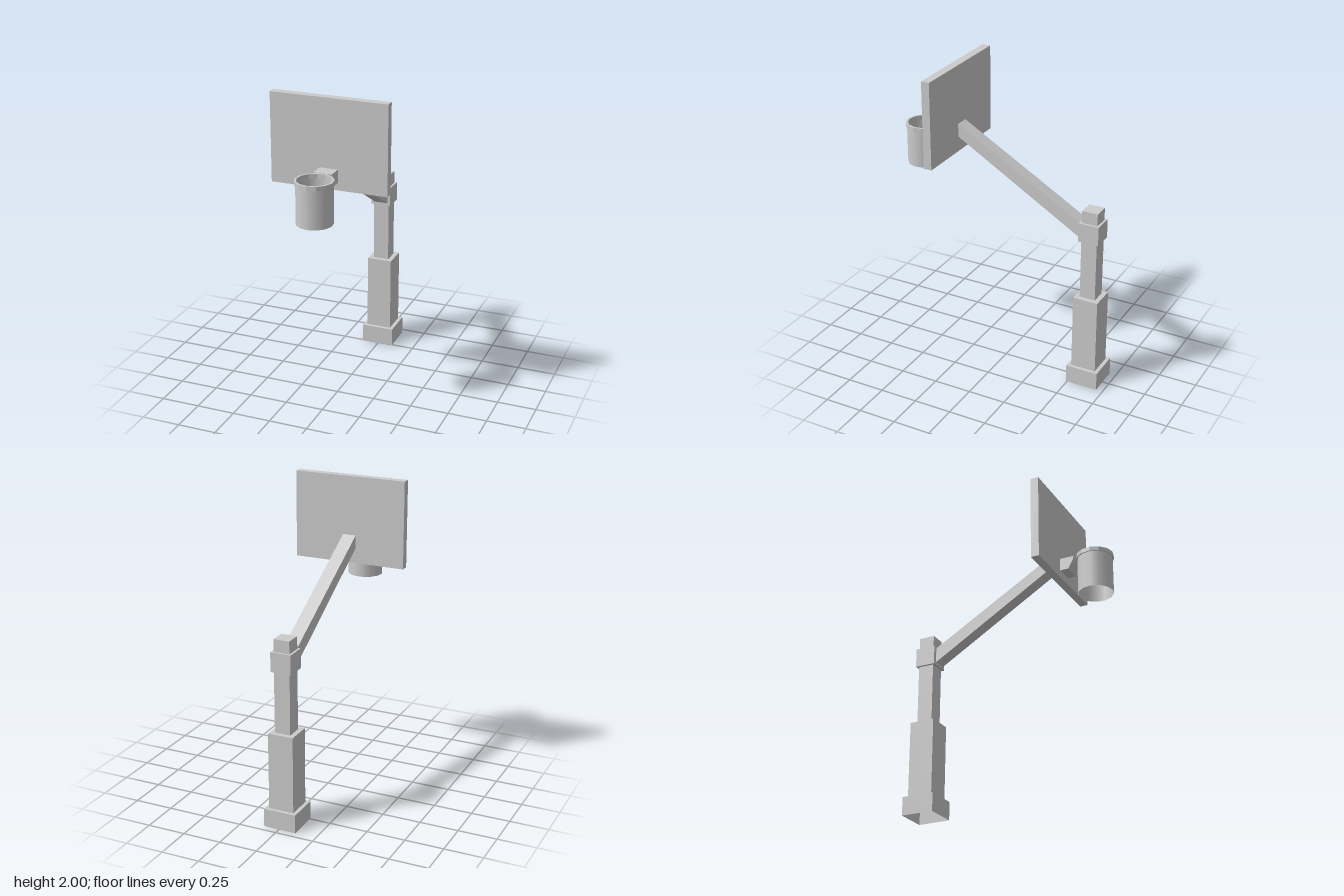
import * as THREE from 'three';

const flat = new THREE.MeshStandardMaterial({ color: 0xcccccc, flatShading: true, side: THREE.DoubleSide });
const smooth = new THREE.MeshStandardMaterial({ color: 0xcccccc, side: THREE.DoubleSide });

const RIM_SIDES = 13;
const HOOP_Z = 0.585;

// Side profile of [z, y] points, extruded across x and centred
function sideExtrude(points, width) {
  const shape = new THREE.Shape(points.map(([z, y]) => new THREE.Vector2(z, y)));
  const geometry = new THREE.ExtrudeGeometry(shape, { depth: width, bevelEnabled: false });
  geometry.translate(0, 0, -width / 2);
  geometry.rotateY(-Math.PI / 2);
  return geometry;
}

// Revolved profile of [radius, y] points
function revolve(points, sides, start = 0) {
  return new THREE.LatheGeometry(points.map(([r, y]) => new THREE.Vector2(r, y)), sides, start);
}

export function createModel() {
  const group = new THREE.Group();
  const add = (name, geometry, material, x = 0, y = 0, z = 0) => {
    const mesh = new THREE.Mesh(geometry, material);
    mesh.name = name;
    mesh.position.set(x, y, z);
    group.add(mesh);
  };

  // Stepped square post, hollow and open at the bottom: [half width, y]
  const steps = [
    [0.107, 0], [0.107, 0.12], [0.083, 0.12], [0.083, 0.62],
    [0.052, 0.62], [0.052, 1.015], [0.067, 1.015], [0.067, 1.14],
    [0.052, 1.14], [0.052, 1.22], [0, 1.22],
  ];
  const post = revolve(steps.map(([h, y]) => [h * Math.SQRT2, y]), 4, Math.PI / 4);
  add('post', post, flat, -0.005, 0, -0.599);

  // Sloping arm from the collar to the board
  const arm = sideExtrude([[-0.535, 1.03], [0.318, 1.535], [0.318, 1.62], [-0.535, 1.13]], 0.088);
  add('arm', arm, flat, -0.002);

  // Backboard
  add('backboard', new THREE.BoxGeometry(0.748, 0.565, 0.054), flat, -0.001, 1.7175, 0.342);

  // Bracket with a sloped underside
  const bracket = sideExtrude(
    [[0.367, 1.483], [0.425, 1.483], [0.458, 1.54], [0.463, 1.566], [0.367, 1.566]], 0.118);
  add('bracket', bracket, flat);

  // Rim band
  const rim = revolve(
    [[0.12, 1.539], [0.12, 1.566], [0.107, 1.566], [0.107, 1.539], [0.12, 1.539]], RIM_SIDES);
  add('rim', rim, flat, 0, 0, HOOP_Z);

  // Net, an open tube
  const net = new THREE.CylinderGeometry(0.113, 0.113, 0.255, RIM_SIDES, 1, true);
  add('net', net, smooth, 0, 1.4225, HOOP_Z);

  return group;
}
